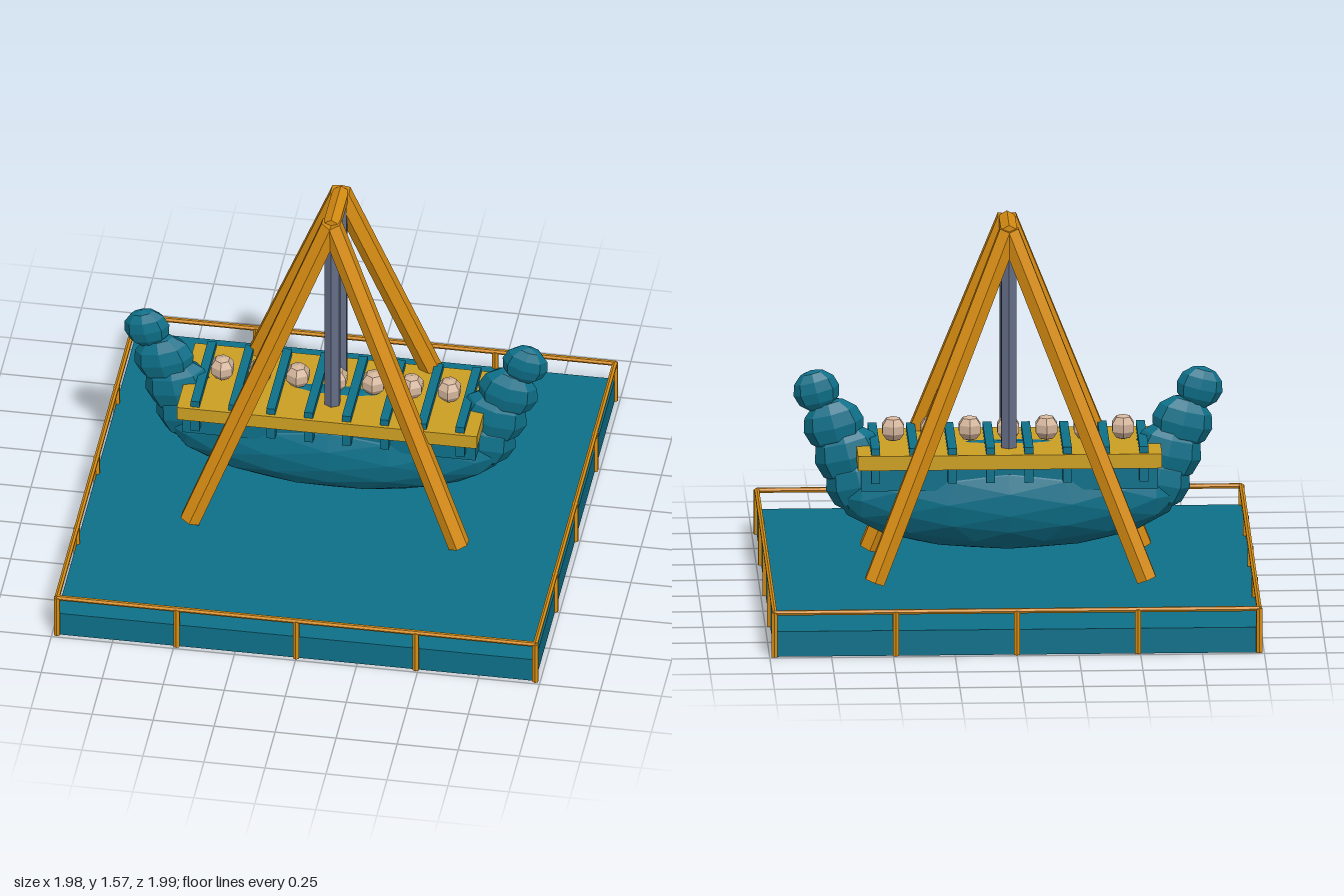
import * as THREE from 'three';

const material = (name, color) => {
  const m = new THREE.MeshStandardMaterial({ color, flatShading: true });
  m.name = name;
  return m;
};

export function createModel() {
  const teal = material('teal', 0x0e7089);
  const orange = material('orange', 0xd88d12);
  const yellow = material('yellow', 0xcca023);
  const slate = material('slate', 0x646d86);
  const skin = material('skin', 0xd4b59b);
  const model = new THREE.Group();
  model.name = 'swingingShipRide';

  const add = (name, geometry, mat, x = 0, y = 0, z = 0, parent = model) => {
    const mesh = new THREE.Mesh(geometry, mat);
    mesh.name = name;
    mesh.position.set(x, y, z);
    parent.add(mesh);
    return mesh;
  };

  // Six-sided bar between two points
  const up = new THREE.Vector3(0, 1, 0);
  const bar = (name, a, b, radius, mat) => {
    const start = new THREE.Vector3(...a);
    const dir = new THREE.Vector3(...b).sub(start);
    const mesh = add(name, new THREE.CylinderGeometry(radius, radius, dir.length(), 6), mat);
    mesh.position.copy(start).addScaledVector(dir, 0.5);
    mesh.quaternion.setFromUnitVectors(up, dir.normalize());
    return mesh;
  };

  // Platform
  add('platform', new THREE.BoxGeometry(1.96, 0.105, 1.96), teal, 0, 0.0525, 0);

  // Fence around the platform
  const edge = 0.98;
  for (let i = 0; i < 5; i++) {
    const p = -edge + i * edge / 2;
    for (const s of [-1, 1]) {
      bar('fencePost', [p, 0, s * edge], [p, 0.185, s * edge], 0.014, orange);
      if (i > 0 && i < 4) bar('fencePost', [s * edge, 0, p], [s * edge, 0.185, p], 0.014, orange);
    }
  }
  for (const s of [-1, 1]) {
    bar('fenceRail', [-edge, 0.183, s * edge], [edge, 0.183, s * edge], 0.011, orange);
    bar('fenceRail', [s * edge, 0.183, -edge], [s * edge, 0.183, edge], 0.011, orange);
  }

  // A-frame legs, axle and hanging arms
  for (const sz of [-1, 1]) {
    for (const sx of [-1, 1]) {
      bar('frameLeg', [sx * 0.55, 0.125, sz * 0.278], [0, 1.54, sz * 0.112], 0.046, orange);
    }
    bar('swingArm', [0, 0.58, sz * 0.088], [0, 1.53, sz * 0.088], 0.035, slate);
  }
  bar('axle', [0, 1.53, -0.12], [0, 1.53, 0.12], 0.038, orange);

  // Ship hull and deck
  const ship = new THREE.Group();
  ship.name = 'ship';
  model.add(ship);
  add('hull', new THREE.IcosahedronGeometry(1, 2), teal, 0, 0.417, 0, ship).scale.set(0.7, 0.227, 0.203);
  add('hullTop', new THREE.BoxGeometry(1.2, 0.105, 0.34), teal, 0, 0.5275, 0, ship);
  add('deck', new THREE.BoxGeometry(1.23, 0.06, 0.45), yellow, 0, 0.605, 0, ship);

  // Benches crossing the deck, with riders between them
  for (let i = 0; i < 8; i++) {
    add('bench', new THREE.BoxGeometry(0.036, 0.147, 0.42), teal, (i - 3.5) * 0.155, 0.589, 0, ship);
  }
  const headGeometry = new THREE.SphereGeometry(0.053, 6, 5).rotateY(Math.PI / 6);
  for (let i = -3; i <= 3; i++) add('riderHead', headGeometry, skin, i * 0.155, 0.692, 0, ship);

  // Curled prow and stern: x, y, half sizes
  const lumps = [
    [0.6, 0.47, 0.14, 0.13, 0.09],
    [0.645, 0.585, 0.14, 0.13, 0.08],
    [0.705, 0.71, 0.125, 0.112, 0.068],
    [0.775, 0.855, 0.095, 0.088, 0.052],
  ];
  for (const s of [-1, 1]) {
    const end = new THREE.Group();
    end.name = s > 0 ? 'leftEnd' : 'rightEnd';
    ship.add(end);
    for (const [x, y, rx, ry, rz] of lumps) {
      const lump = add('endLump', new THREE.SphereGeometry(1, 8, 6), teal, s * x, y, 0, end);
      lump.scale.set(rx, ry, rz);
      lump.rotation.z = -s * 0.25;
    }
  }

  return model;
}
